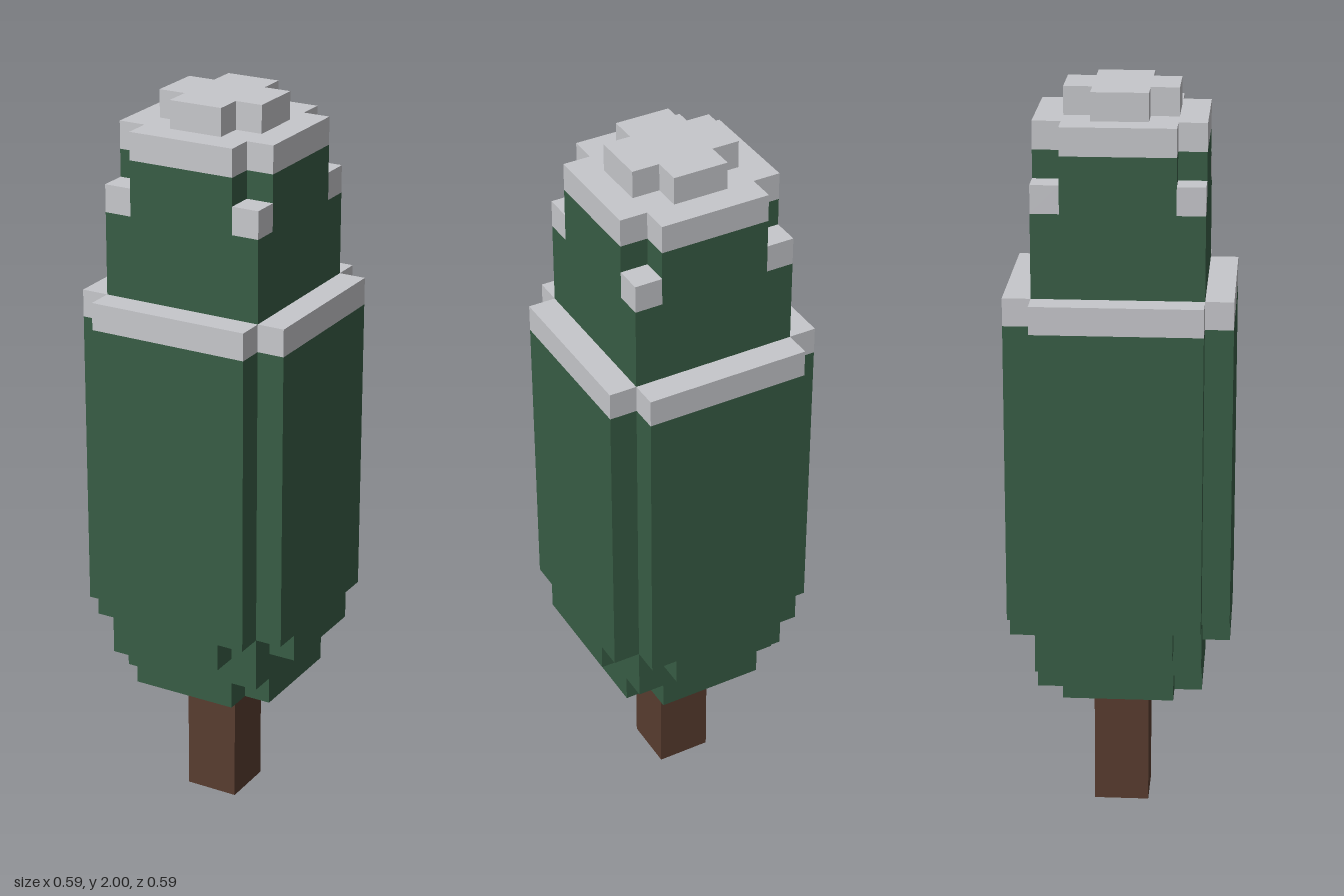
import * as THREE from 'three';

const U = 2 / 27; // one block of the 27-block-high tree

const material = (name, color) => {
  const m = new THREE.MeshStandardMaterial({ color });
  m.name = name;
  return m;
};

// Plus-shaped outline: half length a, half arm width b, corners cut back to c
function plusShape(a, b, c = b) {
  const quarter = [[a, -b], [a, b], [c, b], [c, c], [b, c], [b, a]];
  const pts = [];
  for (let i = 0; i < 4; i++) {
    for (const [x, y] of quarter) {
      let p = [x, y];
      for (let k = 0; k < i; k++) p = [-p[1], p[0]];
      const v = new THREE.Vector2(p[0] * U, p[1] * U);
      if (!pts.length || pts[pts.length - 1].distanceTo(v) > 1e-5) pts.push(v);
    }
  }
  if (pts[0].distanceTo(pts[pts.length - 1]) < 1e-5) pts.pop();
  return new THREE.Shape(pts);
}

export function createModel() {
  const tree = new THREE.Group();
  tree.name = 'snowyTree';
  const green = material('pineGreen', 0x385d45);
  const snow = material('snowWhite', 0xc6c7cb);
  const bark = material('barkBrown', 0x583c2f);

  const add = (name, geometry, mat) => {
    const mesh = new THREE.Mesh(geometry, mat);
    mesh.name = name;
    tree.add(mesh);
    return mesh;
  };
  // Square block of half width h between block heights y0 and y1
  const block = (name, h, y0, y1, mat) => {
    const g = new THREE.BoxGeometry(2 * h * U, (y1 - y0) * U, 2 * h * U);
    return add(name, g.translate(0, (y0 + y1) / 2 * U, 0), mat);
  };
  // Plus-shaped slab between block heights y0 and y1
  const slab = (name, shape, y0, y1, mat) => {
    const g = new THREE.ExtrudeGeometry(shape, { depth: (y1 - y0) * U, bevelEnabled: false });
    return add(name, g.rotateX(-Math.PI / 2).translate(0, y0 * U, 0), mat);
  };

  block('trunk', 1, 0, 5, bark);

  // Stepped underside of the foliage
  slab('foliageBase', plusShape(3, 2), 5, 6, green);
  block('foliageSkirt', 3, 6, 7, green);
  slab('foliageLowerStep', plusShape(4, 2, 3), 7, 8, green);

  // Main body and its snow ledge
  slab('foliageBody', plusShape(4, 3), 8, 19, green);
  slab('snowLedge', plusShape(4, 3), 19, 20, snow);

  // Narrower upper body with snow on its four corners
  block('upperFoliage', 3, 20, 23, green);
  slab('upperFoliageTop', plusShape(3, 2), 23, 25, green);
  for (const x of [-2.5, 2.5]) {
    for (const z of [-2.5, 2.5]) {
      block('cornerSnow', 0.5, 23, 24, snow).position.set(x * U, 0, z * U);
    }
  }

  // Snow cap
  slab('snowCap', plusShape(3, 2), 25, 26, snow);
  slab('snowPeak', plusShape(2, 1), 26, 27, snow);

  return tree;
}
